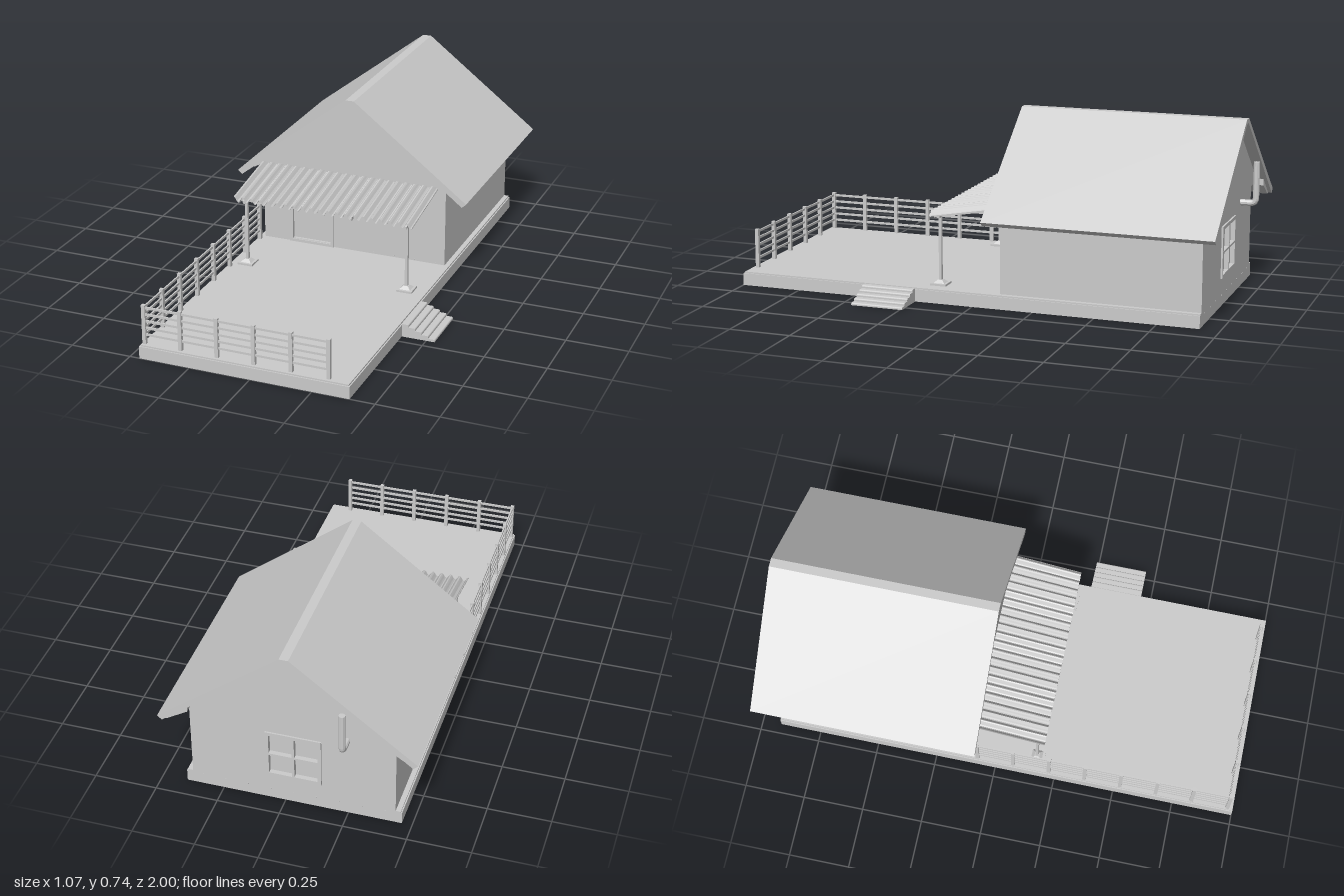
import * as THREE from 'three';

export function createModel() {
  const root = new THREE.Group();
  const mat = new THREE.MeshStandardMaterial({ color: 0xcccccc, flatShading: true });

  const add = (name, geo, parent = root) => {
    const m = new THREE.Mesh(geo, mat);
    m.name = name;
    parent.add(m);
    return m;
  };
  // Box given by its min and max on each axis
  const box = (name, x0, x1, y0, y1, z0, z1, parent = root) => {
    const m = add(name, new THREE.BoxGeometry(x1 - x0, y1 - y0, z1 - z0), parent);
    m.position.set((x0 + x1) / 2, (y0 + y1) / 2, (z0 + z1) / 2);
    return m;
  };
  const group = (name) => {
    const g = new THREE.Group();
    g.name = name;
    root.add(g);
    return g;
  };
  const poly = (pts) => new THREE.Shape(pts.map((p) => new THREE.Vector2(p[0], p[1])));
  const rect = (x0, x1, y0, y1) => poly([[x0, y0], [x1, y0], [x1, y1], [x0, y1]]);
  const extrude = (name, shape, z0, z1, parent = root) => {
    const geo = new THREE.ExtrudeGeometry(shape, { depth: z1 - z0, bevelEnabled: false });
    return add(name, geo.translate(0, 0, z0), parent);
  };

  // Platform: hollow skirt with a floor plate on top
  const deck = group('deck');
  const [L, R, F, B] = [-0.46, 0.4, 1, -0.92];
  box('skirtLeft', R - 0.012, R, 0, 0.05, B, F, deck);
  box('skirtRight', L, L + 0.012, 0, 0.05, B, F, deck);
  box('skirtFront', L + 0.012, R - 0.012, 0, 0.05, F - 0.012, F, deck);
  box('skirtBack', L + 0.012, R - 0.012, 0, 0.05, B, B + 0.012, deck);
  box('floor', L + 0.005, R - 0.005, 0.046, 0.056, B, F - 0.005, deck);

  // House walls with a door opening in front and a window behind
  const house = group('house');
  const [hl, hr, hf, hb, wallTop] = [-0.435, 0.375, -0.11, -0.92, 0.415];
  const frontShape = rect(hl, hr, 0.056, wallTop);
  frontShape.holes.push(rect(-0.305, -0.13, 0.07, 0.325));
  extrude('frontWall', frontShape, hf - 0.02, hf, house);
  const backShape = rect(hl, hr, 0.056, wallTop);
  backShape.holes.push(rect(-0.135, 0.066, 0.125, 0.315));
  extrude('backWall', backShape, hb, hb + 0.02, house);
  box('leftWall', hr - 0.02, hr, 0.056, wallTop, hb + 0.02, hf - 0.02, house);
  box('rightWall', hl, hl + 0.02, 0.056, wallTop, hb + 0.02, hf - 0.02, house);

  // Door leaf and frame
  const door = group('door');
  box('doorLeaf', -0.31, -0.125, 0.056, 0.33, hf - 0.025, hf - 0.012, door);
  const frame = rect(-0.317, -0.118, 0.056, 0.337);
  frame.holes.push(rect(-0.303, -0.132, 0.068, 0.323));
  extrude('doorFrame', frame, hf, hf + 0.006, door);

  // Window with four panes
  const win = group('window');
  box('glass', -0.14, 0.07, 0.12, 0.32, hb + 0.012, hb + 0.018, win);
  const sash = rect(-0.145, 0.076, 0.115, 0.325);
  for (const x of [-0.131, -0.03]) {
    for (const y of [0.129, 0.224]) sash.holes.push(rect(x, x + 0.092, y, y + 0.087));
  }
  extrude('windowFrame', sash, hb - 0.007, hb + 0.012, win);

  // Small bolts along the foot of the end walls
  const bolts = group('bolts');
  for (let i = 0; i < 9; i++) {
    for (const z of [hb, hf]) {
      const b = add('bolt', new THREE.CylinderGeometry(0.003, 0.003, 0.004, 6), bolts);
      b.rotation.x = Math.PI / 2;
      b.position.set(hl + 0.04 + i * 0.091, z === hb ? 0.045 : 0.062, z);
    }
  }

  // Roof shell and gable infill
  const cx = -0.029;
  const half = [[0.506, 0.362], [0.018, 0.738]];
  const inner = [[0.012, 0.72], [0.488, 0.345]];
  const right = [...half, ...inner];
  extrude('roof', poly([
    [cx + 0.506, 0.362], [cx + 0.018, 0.738], [cx - 0.018, 0.738], [cx - 0.506, 0.362],
    ...[right[3], right[2]].map(([x, y]) => [cx - x, y]),
    ...inner.map(([x, y]) => [cx + x, y]),
  ]), -0.99, -0.065);
  extrude('gable', poly([
    [cx - 0.415, 0.41], [cx + 0.415, 0.41], [cx + 0.012, 0.722], [cx - 0.012, 0.722],
  ]), hb - 0.025, hf + 0.025);

  // Rafter tails under both eaves
  const tails = group('rafterTails');
  for (let i = 0; i < 6; i++) {
    const z = -0.18 - i * 0.156;
    for (const s of [-1, 1]) {
      const pts = [[0.39, 0.423], [0.39, 0.395], [0.475, 0.343], [0.488, 0.347]];
      extrude('rafterTail', poly(pts.map(([x, y]) => [cx + s * x, y])), z - 0.015, z + 0.015, tails);
    }
  }

  // Flue pipe on the back wall
  const flue = new THREE.CurvePath();
  const v = (y, z) => new THREE.Vector3(-0.245, y, z);
  flue.add(new THREE.LineCurve3(v(0.357, hb + 0.01), v(0.357, -0.96)));
  flue.add(new THREE.QuadraticBezierCurve3(v(0.357, -0.96), v(0.357, -0.983), v(0.38, -0.983)));
  flue.add(new THREE.LineCurve3(v(0.38, -0.983), v(0.525, -0.983)));
  add('fluePipe', new THREE.TubeGeometry(flue, 30, 0.013, 10, false));
  const cap = add('flueCap', new THREE.CylinderGeometry(0.013, 0.013, 0.004, 10));
  cap.position.set(-0.245, 0.525, -0.983);

  // Corrugated awning: a wavy sheet extruded and sheared downhill
  const awning = group('awning');
  const slope = (z) => 0.348 + (0.2 - z) * 0.172;
  const n = 160;
  const wave = (i) => [-0.43 + (0.77 * i) / n, 0.011 * Math.cos((i / n) * 20.5 * Math.PI * 2)];
  const lower = [], upper = [];
  for (let i = 0; i <= n; i++) {
    const [x, y] = wave(i);
    lower.push([x, y - 0.002]);
    upper.unshift([x, y + 0.002]);
  }
  const shear = (mesh) => {
    const p = mesh.geometry.attributes.position;
    for (let i = 0; i < p.count; i++) p.setY(i, p.getY(i) + slope(p.getZ(i)));
    mesh.geometry.computeVertexNormals();
  };
  shear(extrude('corrugatedSheet', poly([...lower, ...upper]), hf, 0.2, awning));
  for (const x of [-0.39, -0.157, 0.077, 0.31]) {
    shear(extrude('awningRafter', rect(x - 0.006, x + 0.006, -0.021, -0.009), hf, 0.19, awning));
  }
  box('awningBeam', -0.415, 0.335, 0.332, 0.344, 0.159, 0.171, awning);

  // Awning posts on stepped feet
  for (const x of [-0.39, 0.31]) {
    box('awningPost', x - 0.006, x + 0.006, 0.06, 0.335, 0.159, 0.171, awning);
    box('postFoot', x - 0.033, x + 0.033, 0.055, 0.064, 0.132, 0.198, awning);
    const f = add('postCollar', new THREE.CylinderGeometry(0.014, 0.032, 0.012, 4), awning);
    f.rotation.y = Math.PI / 4;
    f.position.set(x, 0.07, 0.165);
  }

  // Railings along the front and the right side
  const fence = group('fence');
  const fx = -0.445, fz = 0.977, w = 0.0075;
  const post = (x, z) => box('fencePost', x - w, x + w, 0.055, 0.218, z - w, z + w, fence);
  for (let i = 0; i < 6; i++) post(fx + i * 0.151, fz);
  for (let i = 1; i < 8; i++) post(fx, fz - i * 0.1505);
  for (let i = 0; i < 5; i++) {
    const y = 0.09 + i * 0.028;
    box('frontRail', fx, 0.31, y, y + 0.009, fz - 0.003, fz + 0.003, fence);
    box('sideRail', fx - 0.003, fx + 0.003, y, y + 0.009, -0.077, fz, fence);
  }

  // Side steps with rounded nosings
  const steps = group('steps');
  for (let i = 0; i < 5; i++) {
    const x1 = 0.427 + i * 0.027, y1 = 0.054 - i * 0.011, r = 0.007;
    const s = new THREE.Shape();
    s.moveTo(x1 - 0.027, 0);
    s.lineTo(x1, 0);
    s.lineTo(x1, y1 - r);
    s.quadraticCurveTo(x1, y1, x1 - r, y1);
    s.lineTo(x1 - 0.027, y1);
    extrude('step', s, 0.24, 0.457, steps);
  }
  return root;
}
